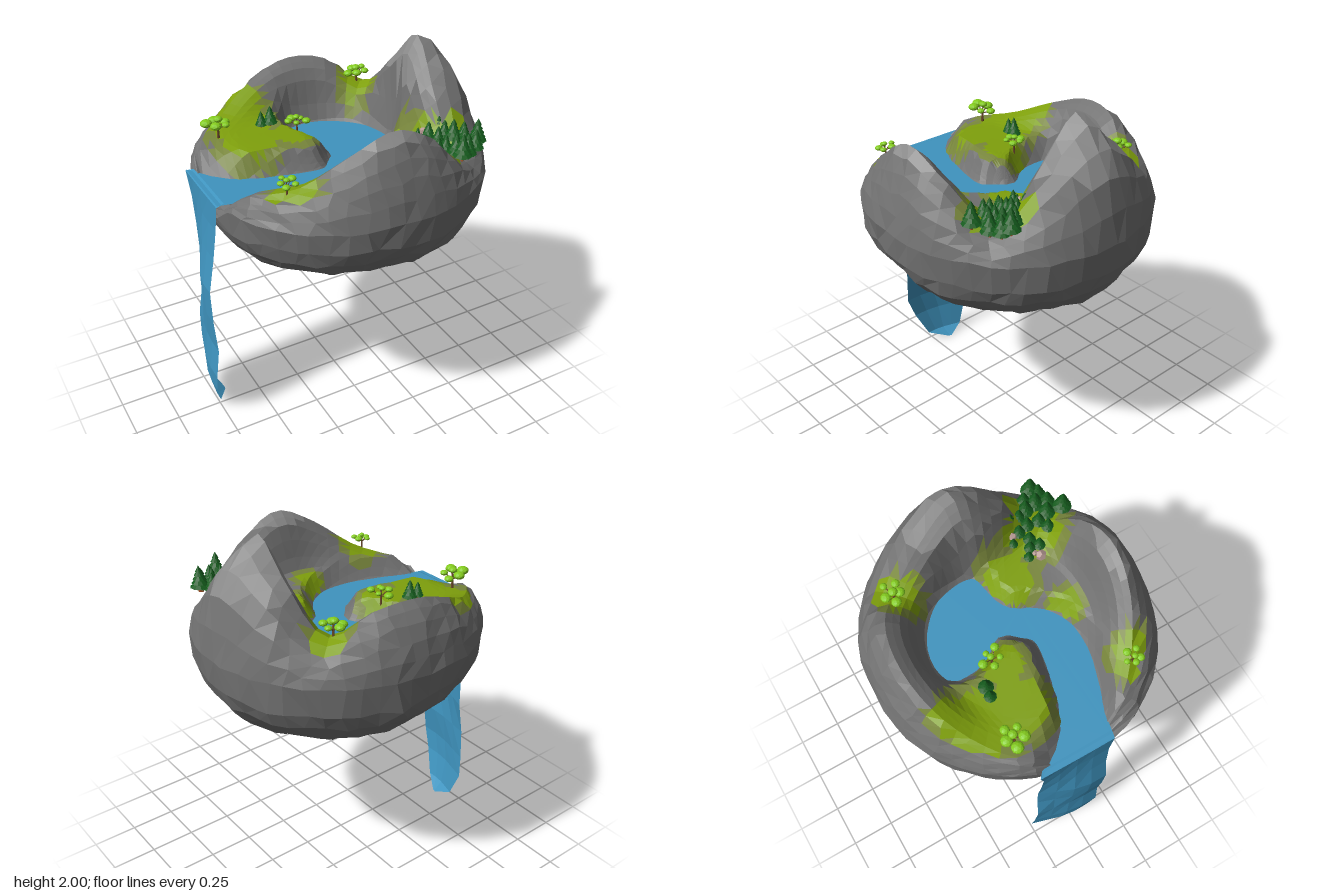
import * as THREE from 'three';

const WATER_Y = 1.42, EDGE_Y = 1.42, TAU = Math.PI * 2, SEG = 54;
const V2 = (x, y) => new THREE.Vector2(x, y);
const { clamp, smoothstep } = THREE.MathUtils;
const mat = (color, extra = {}) => new THREE.MeshStandardMaterial({ color, flatShading: true, roughness: 0.9, ...extra });
const noise = (i, j, k = 0) => {
  const s = Math.sin(i * 127.1 + j * 311.7 + k * 74.7) * 43758.5453;
  return (s - Math.floor(s)) * 2 - 1;
};

const ROCK = mat(0x727272), PALE = mat(0x8c8c8c), GRASS = mat(0x7fa00c), MOSS = mat(0x78863c);
const WATER = mat(0x3f94bf, { side: THREE.DoubleSide });
const NEEDLES = mat(0x145a1c), LEAF = mat(0x84cc1e), BARK = mat(0x6b4a2a), ORANGE_BARK = mat(0xa5562a), PINK = mat(0xb79a94);

// Rim by angle, from +x towards +z: crest radius, crest height, outline radius
const rim = new THREE.CatmullRomCurve3([
  [0.49, 2.0, 0.79], [0.51, 1.77, 0.795], [0.6, 1.53, 0.785], [0.6, 1.72, 0.765],
  [0.58, 1.83, 0.745], [0.59, 1.73, 0.76], [0.62, 1.57, 0.76], [0.67, 1.5, 0.76],
  [0.69, 1.44, 0.735], [0.69, 1.52, 0.75], [0.63, 1.57, 0.745], [0.6, 1.67, 0.745],
  [0.59, 1.75, 0.74], [0.59, 1.73, 0.76], [0.58, 1.6, 0.775], [0.52, 1.82, 0.785],
].map(p => new THREE.Vector3(...p)), true, 'catmullrom', 0.5);
const rimAt = a => rim.getPoint((((a / TAU) % 1) + 1) % 1);

// Shoreline of the hooked pool and the river leaving at -x
const shore = new THREE.SplineCurve([
  [-0.735, -0.24], [-0.64, -0.11], [-0.55, -0.03], [-0.4, 0.03], [-0.14, 0.09], [-0.06, 0.04], [0, -0.06],
  [-0.07, -0.16], [-0.11, -0.29], [-0.08, -0.39], [0.02, -0.42], [0.16, -0.39], [0.3, -0.28],
  [0.37, -0.12], [0.35, 0], [0.2, 0.03], [0.11, 0.08], [0.04, 0.2], [-0.08, 0.29], [-0.25, 0.31],
  [-0.45, 0.26], [-0.6, 0.2], [-0.735, 0.17],
].map(p => V2(...p))).getPoints(66);

// Signed distance to the shore, negative over the water
function shoreDistance(x, z) {
  let d = Infinity, inside = false;
  shore.forEach((p, i) => {
    const q = shore[(i + 1) % shore.length], dx = q.x - p.x, dz = q.y - p.y;
    const t = clamp(((x - p.x) * dx + (z - p.y) * dz) / (dx * dx + dz * dz || 1), 0, 1);
    d = Math.min(d, Math.hypot(x - p.x - t * dx, z - p.y - t * dz));
    if ((p.y > z) !== (q.y > z) && x < p.x + dx * (z - p.y) / dz) inside = !inside;
  });
  return inside ? -d : d;
}

// Ground inside the crest: banks rise from the water, steep walls rise to the rim
function groundHeight(x, z) {
  const { x: crest, y: top } = rimAt(Math.atan2(z, x));
  const t = Math.min(1, Math.hypot(x, z) / crest);
  const base = 1.5 + 0.04 * smoothstep(-x, 0, 0.15) * smoothstep(-z, -0.1, 0.05);
  const full = base + (top - base) * (0.65 * smoothstep(t, 0.7, 0.92) + 0.35 * t ** 5);
  const d = shoreDistance(x, z);
  return d < 0 ? WATER_Y - 0.04 * Math.min(1, -d / 0.05) : WATER_Y + (full - WATER_Y) * Math.min(1, d / 0.06);
}

// Underside: a shallow bowl, deeper towards +x, with hanging lumps (x, z, depth, radius)
const lumps = [[-0.02, -0.1, 0.18, 0.24], [0.03, 0.2, 0.14, 0.22], [0.5, -0.04, 0.06, 0.24], [0.27, 0.02, 0.06, 0.2],
  [-0.14, 0.04, 0.14, 0.18], [0, -0.33, 0.08, 0.2], [0.24, -0.3, 0.04, 0.18], [0.28, 0.28, 0.04, 0.18]];
function undersideHeight(x, z, k) {
  const bowl = 0.99 - 0.035 * smoothstep(x, -0.1, 0.2) + 0.4 * (1 - Math.sqrt(1 - k ** 3.5));
  return bowl - Math.max(...lumps.map(([lx, lz, depth, r]) => depth * smoothstep(1 - Math.hypot(x - lx, z - lz) / r, 0, 0.85)));
}

// Grass patches: x, z, radius
const patches = [[-0.38, -0.36, 0.26], [-0.4, -0.17, 0.22], [-0.17, -0.13, 0.16], [-0.3, -0.5, 0.13], [0.22, 0.12, 0.2],
  [0.42, 0.36, 0.26], [-0.04, 0.31, 0.12], [0.38, -0.4, 0.14], [0.47, -0.48, 0.1], [-0.46, 0.44, 0.16]];
function surfaceMaterial(p) {
  const g = Math.max(...patches.map(([x, z, r]) => 1 - Math.hypot(p.x - x, p.z - z) / r));
  if (p.y > 1.43 && p.y < 1.66 && Math.hypot(p.x, p.z) < 0.68) {
    if (g > 0.35) return GRASS;
    if (g > 0.08) return MOSS;
  }
  return p.y > 1.76 ? PALE : ROCK;
}

function buildIsland() {
  const INNER = 18, OUTER = 5, rows = [];
  // Each ring function gives radius, height and a small turn that breaks up the facets
  const ring = f => rows.push(Array.from({ length: SEG }, (_, j) => {
    const a = j / SEG * TAU, [r, y, turn = 0] = f(a, rimAt(a), j);
    return new THREE.Vector3(Math.cos(a + turn) * r, y, Math.sin(a + turn) * r);
  }));
  for (let i = 0; i <= INNER; i++) ring((a, c) => {
    const r = c.x * i / INNER;
    return [r, groundHeight(Math.cos(a) * r, Math.sin(a) * r)];
  });
  // Outer slope from the crest to the widest outline, rounder on the +x side
  for (let i = 1; i <= OUTER; i++) ring((a, c, j) => {
    const u = i / OUTER, s = u * Math.PI / 2, top = groundHeight(Math.cos(a) * c.x, Math.sin(a) * c.x);
    const edge = Math.min(EDGE_Y, top - 0.05), round = 0.6 + 0.2 * Math.cos(a + 0.4);
    return [c.x + (c.z - c.x) * (Math.sin(s) * round + u * (1 - round)) + noise(i, j) * 0.005,
      edge + (top - edge) * (Math.cos(s) * round + (1 - u) * (1 - round)) + noise(j, i) * 0.01, noise(i, j, 7) * 0.03];
  });
  [0.985, 0.94, 0.86, 0.76, 0.65, 0.54, 0.44, 0.34, 0.25, 0.16, 0.08, 0].forEach((k, i) => ring((a, c, j) => {
    const turn = noise(i, j, 7) * 0.035, r = c.z * k * (1 + noise(i, j, 3) * 0.01);
    const y = undersideHeight(Math.cos(a + turn) * r, Math.sin(a + turn) * r, k);
    return [r, y + (k ? noise(i, j, 5) * Math.min(0.012, k * 0.04) : 0), turn];
  }));

  // Sort faces by surface, splitting each quad along its flatter diagonal
  const bins = new Map();
  const face = (a, b, c) => {
    const m = surfaceMaterial(a.clone().add(b).add(c).divideScalar(3));
    if (!bins.has(m)) bins.set(m, []);
    bins.get(m).push(a, b, c);
  };
  for (let i = 0; i < rows.length - 1; i++) for (let j = 0; j < SEG; j++) {
    const n = (j + 1) % SEG, a = rows[i][j], b = rows[i + 1][j], c = rows[i][n], d = rows[i + 1][n];
    if (i === 0) face(a, d, b);
    else if (i === rows.length - 2) face(a, c, b);
    else if (Math.abs(a.y - d.y) < Math.abs(b.y - c.y)) { face(a, d, b); face(a, c, d); }
    else { face(a, c, b); face(b, c, d); }
  }
  const names = new Map([[ROCK, 'rock'], [PALE, 'paleSummits'], [GRASS, 'grass'], [MOSS, 'grassEdge']]);
  const island = new THREE.Group();
  island.name = 'island';
  bins.forEach((pts, m) => {
    const geo = new THREE.BufferGeometry().setFromPoints(pts);
    geo.computeVertexNormals();
    add(island, names.get(m), geo, m);
  });
  return island;
}

function add(parent, name, geo, material, x = 0, y = 0, z = 0) {
  const m = new THREE.Mesh(geo, material);
  m.name = name;
  m.position.set(x, y, z);
  parent.add(m);
  return m;
}

// Falling sheet, slanting outwards to its front edge: height, front x, back x, back z, front z
function waterfallGeometry() {
  const rows = [[1.425, -0.7, -0.7, -0.22, 0.17], [1.41, -0.74, -0.735, -0.25, 0.17], [1.27, -0.745, -0.725, -0.22, 0.15],
    [1.1, -0.765, -0.715, -0.22, 0.14], [0.9, -0.8, -0.705, -0.23, 0.14], [0.7, -0.795, -0.71, -0.23, 0.14],
    [0.5, -0.78, -0.74, -0.235, 0.14], [0.32, -0.8, -0.735, -0.25, 0.135], [0.19, -0.79, -0.725, -0.26, 0.09],
    [0.04, -0.75, -0.71, -0.205, 0.02], [0, -0.68, -0.675, -0.11, -0.09]];
  const N = 4, geo = new THREE.PlaneGeometry(1, 1, N, rows.length - 1), pos = geo.attributes.position;
  rows.forEach(([y, front, back, z0, z1], i) => {
    for (let j = 0; j <= N; j++) {
      const t = j / N;
      pos.setXYZ(i * (N + 1) + j, back + (front - back) * Math.min(1, t * 1.6), y, z0 + (z1 - z0) * t);
    }
  });
  geo.computeVertexNormals();
  return geo;
}

function conifer(x, z, s) {
  const g = new THREE.Group();
  g.name = 'conifer';
  add(g, 'trunk', new THREE.CylinderGeometry(0.006, 0.008, 0.04, 6), ORANGE_BARK, 0, 0.015, 0);
  for (let i = 0; i < 5; i++)
    add(g, 'needles', new THREE.ConeGeometry(0.05 - i * 0.008, 0.034, 9), NEEDLES, 0, 0.042 + i * 0.021, 0).rotation.y = i;
  g.position.set(x, Math.min(1.56, groundHeight(x, z)), z);
  g.scale.setScalar(s);
  return g;
}

// Forked tree with a flattened leaf clump on every branch
function leafyTree(x, z, s, turn, sink = 0) {
  const g = new THREE.Group();
  g.name = 'leafyTree';
  add(g, 'trunk', new THREE.CylinderGeometry(0.005, 0.008, 0.08, 6), BARK, 0, 0.015, 0);
  for (let i = 0; i < 6; i++) {
    const a = i / 5 * TAU, r = i < 5 ? 0.047 + noise(i, turn) * 0.014 : 0.005, y = i < 5 ? 0.075 + noise(i, 2) * 0.012 : 0.095;
    const tip = new THREE.Vector3(Math.cos(a) * r, y, Math.sin(a) * r);
    const path = new THREE.LineCurve3(new THREE.Vector3(0, 0.045, 0), tip);
    add(g, 'branch', new THREE.TubeGeometry(path, 1, 0.003, 5), BARK);
    add(g, 'leaves', new THREE.IcosahedronGeometry(0.024 + noise(i, turn, 1) * 0.006, 1), LEAF, ...tip).scale.y = 0.65;
  }
  g.position.set(x, groundHeight(x, z) - sink, z);
  g.rotation.y = turn;
  g.scale.setScalar(s);
  return g;
}

export function createModel() {
  const model = new THREE.Group();
  model.name = 'floatingIsland';
  model.add(buildIsland());

  // Pool, river and waterfall
  const pool = new THREE.ShapeGeometry(new THREE.Shape(shore.map(p => V2(p.x, -p.y)))).rotateX(-Math.PI / 2);
  add(model, 'poolAndRiver', pool, WATER, 0, WATER_Y, 0);
  add(model, 'waterfall', waterfallGeometry(), WATER);

  // Conifer grove and the pair on the plateau
  [[0.27, 0.28, 0.55], [0.31, 0.31, 0.65], [0.36, 0.24, 0.5], [0.39, 0.29, 0.7], [0.46, 0.28, 0.75], [0.3, 0.36, 0.65],
    [0.35, 0.33, 0.7], [0.41, 0.35, 0.75], [0.46, 0.33, 0.75], [0.35, 0.44, 0.7], [0.41, 0.42, 0.75], [0.48, 0.38, 0.9],
    [0.53, 0.4, 0.8], [0.57, 0.46, 1], [0.5, 0.45, 0.95], [0.43, 0.48, 0.9], [0.48, 0.51, 0.95], [0.41, 0.56, 1],
    [0.54, 0.49, 0.9], [-0.29, -0.27, 0.65], [-0.24, -0.265, 0.8]].forEach(t => model.add(conifer(...t)));

  // Leafy trees
  [[-0.53, -0.28, 1.1, 0.4], [-0.13, -0.17, 0.9, 1.7], [0.38, -0.43, 1, 3, 0.01], [-0.48, 0.42, 0.75, 4.2]]
    .forEach(t => model.add(leafyTree(...t)));

  // Boulders beside the grove
  [[0.25, 0.34, 0.03], [0.385, 0.25, 0.022], [0.28, 0.32, 0.018]].forEach(([x, z, r], i) => {
    add(model, 'boulder', new THREE.DodecahedronGeometry(r), PINK, x, groundHeight(x, z) + r * 0.4, z).rotation.set(i, i * 2, 0);
  });
  return model;
}
